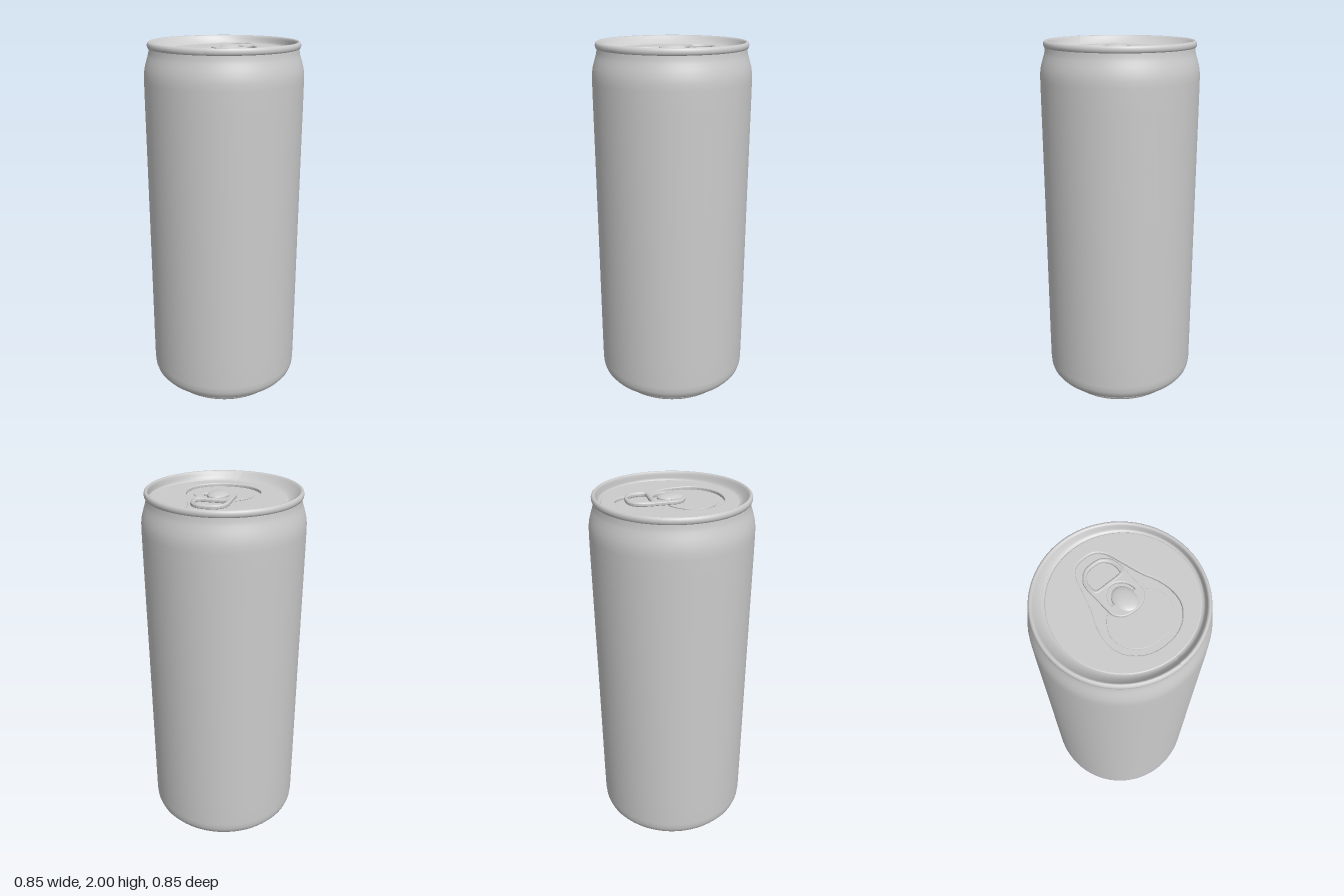
import * as THREE from 'three';

const CX = 0.03; // lid features sit slightly off the can axis

export function createModel() {
  const group = new THREE.Group();
  const mat = new THREE.MeshStandardMaterial({ color: 0xcccccc, side: THREE.DoubleSide });

  const add = (name, geo) => {
    const mesh = new THREE.Mesh(geo, mat);
    mesh.name = name;
    group.add(mesh);
    return mesh;
  };
  const lathe = (pts) => new THREE.LatheGeometry(pts.map(([r, y]) => new THREE.Vector2(r, y)), 72);

  // Closed smooth outline from the +x half of a symmetric profile (first and last points lie on the axis)
  const outline = (half) => {
    const all = [...half, ...half.slice(1, -1).reverse().map(([x, z]) => [-x, z])];
    const curve = new THREE.CatmullRomCurve3(
      all.map(([x, z]) => new THREE.Vector3(CX + x, z, 0)), true, 'centripetal');
    return curve.getPoints(56).slice(0, -1).map((p) => new THREE.Vector2(p.x, p.y));
  };
  // Horizontal plate: shape y becomes z, top face at height top
  const plate = (shape, top, depth, bevel) => {
    const geo = new THREE.ExtrudeGeometry(shape, {
      depth: depth - 2 * bevel, bevelEnabled: bevel > 0, bevelThickness: bevel,
      bevelSize: bevel, bevelOffset: -bevel, bevelSegments: 3, curveSegments: 32,
    });
    return geo.rotateX(Math.PI / 2).translate(0, top - bevel, 0);
  };

  // Base: stepped foot with a flat underside
  add('baseDisc', lathe([[0, 0.004], [0.305, 0.004]]));
  add('baseFoot', lathe([[0.305, 0.004], [0.315, 0], [0.325, 0.004], [0.331, 0.02], [0.331, 0.045]]));

  // Body: rounded bottom edge, long wall, shoulder and neck
  add('body', lathe([
    [0.328, 0.044], [0.35, 0.046], [0.375, 0.052], [0.395, 0.064], [0.41, 0.083], [0.418, 0.107],
    [0.421, 0.14], [0.422, 0.3], [0.424, 1], [0.427, 1.7], [0.427, 1.8], [0.426, 1.835],
    [0.421, 1.868], [0.412, 1.9], [0.404, 1.925], [0.399, 1.945], [0.397, 1.968],
  ]));

  // Rim: rolled lip whose inner wall runs down to the off-centre lid panel
  const rim = lathe([
    [0.394, 1.964], [0.401, 1.966], [0.405, 1.974], [0.406, 1.984], [0.403, 1.994], [0.396, 2],
    [0.389, 1.998], [0.384, 1.99], [0.379, 1.98], [0.37, 1.965], [0.36, 1.953], [0.348, 1.952],
  ]);
  const pos = rim.attributes.position;
  for (let i = 0; i < pos.count; i++) {
    const r = Math.hypot(pos.getX(i), pos.getZ(i));
    const t = THREE.MathUtils.clamp((0.386 - r) / 0.026, 0, 1);
    pos.setX(i, pos.getX(i) + 0.024 * t);
    pos.setZ(i, pos.getZ(i) - 0.005 * t);
  }
  rim.computeVertexNormals();
  add('rim', rim);

  // Lid panel with a pear-shaped recess
  const panel = new THREE.Shape().absarc(0.024, -0.005, 0.352, 0, Math.PI * 2);
  panel.holes.push(new THREE.Path(outline([
    [0, -0.285], [0.05, -0.277], [0.088, -0.24], [0.112, -0.17], [0.145, -0.06], [0.18, 0.02],
    [0.194, 0.1], [0.18, 0.175], [0.13, 0.235], [0.07, 0.266], [0, 0.275],
  ])));
  add('lidPanel', plate(panel, 1.955, 0.02, 0.006));
  const floor = new THREE.CircleGeometry(0.34, 48).rotateX(-Math.PI / 2);
  add('recessFloor', floor.translate(0.024, 1.939, -0.005));

  // Tear panel
  const tear = new THREE.Shape(outline([
    [0, -0.03], [0.07, -0.022], [0.125, 0.02], [0.16, 0.085], [0.157, 0.14], [0.12, 0.2], [0.06, 0.235], [0, 0.241],
  ]));
  add('tearPanel', plate(tear, 1.945, 0.006, 0.002));

  // Pull tab with a finger hole and a crescent cut round the rivet
  const tab = new THREE.Shape(outline([
    [0, -0.236], [0.05, -0.228], [0.086, -0.195], [0.098, -0.15], [0.097, -0.09], [0.096, -0.02],
    [0.093, 0.02], [0.07, 0.052], [0.038, 0.068], [0, 0.072],
  ]));
  const finger = new THREE.Path(outline([
    [0, -0.217], [0.04, -0.211], [0.068, -0.18], [0.075, -0.145], [0.07, -0.12], [0.05, -0.115], [0, -0.115],
  ]));
  const crescent = new THREE.Path();
  crescent.absellipse(CX, -0.012, 0.068, 0.08, Math.PI, Math.PI * 2, false);
  crescent.lineTo(CX + 0.053, -0.006);
  crescent.absellipse(CX, -0.012, 0.053, 0.058, Math.PI * 2, Math.PI, true);
  crescent.closePath();
  tab.holes.push(finger, crescent);
  add('pullTab', plate(tab, 1.972, 0.018, 0.005));

  // Raised frame round the finger hole
  const loop = new THREE.CatmullRomCurve3(outline([
    [0, -0.226], [0.045, -0.219], [0.077, -0.187], [0.086, -0.15], [0.08, -0.112], [0.05, -0.105], [0, -0.105],
  ]).map((p) => new THREE.Vector3(p.x, 1.967, p.y)), true);
  add('tabFrame', new THREE.TubeGeometry(loop, 72, 0.009, 8, true));

  // Rounded tongue over the rivet
  const tongue = add('rivetTongue', new THREE.SphereGeometry(1, 32, 20));
  tongue.scale.set(0.055, 0.018, 0.07);
  tongue.position.set(CX, 1.966, -0.001);

  return group;
}
